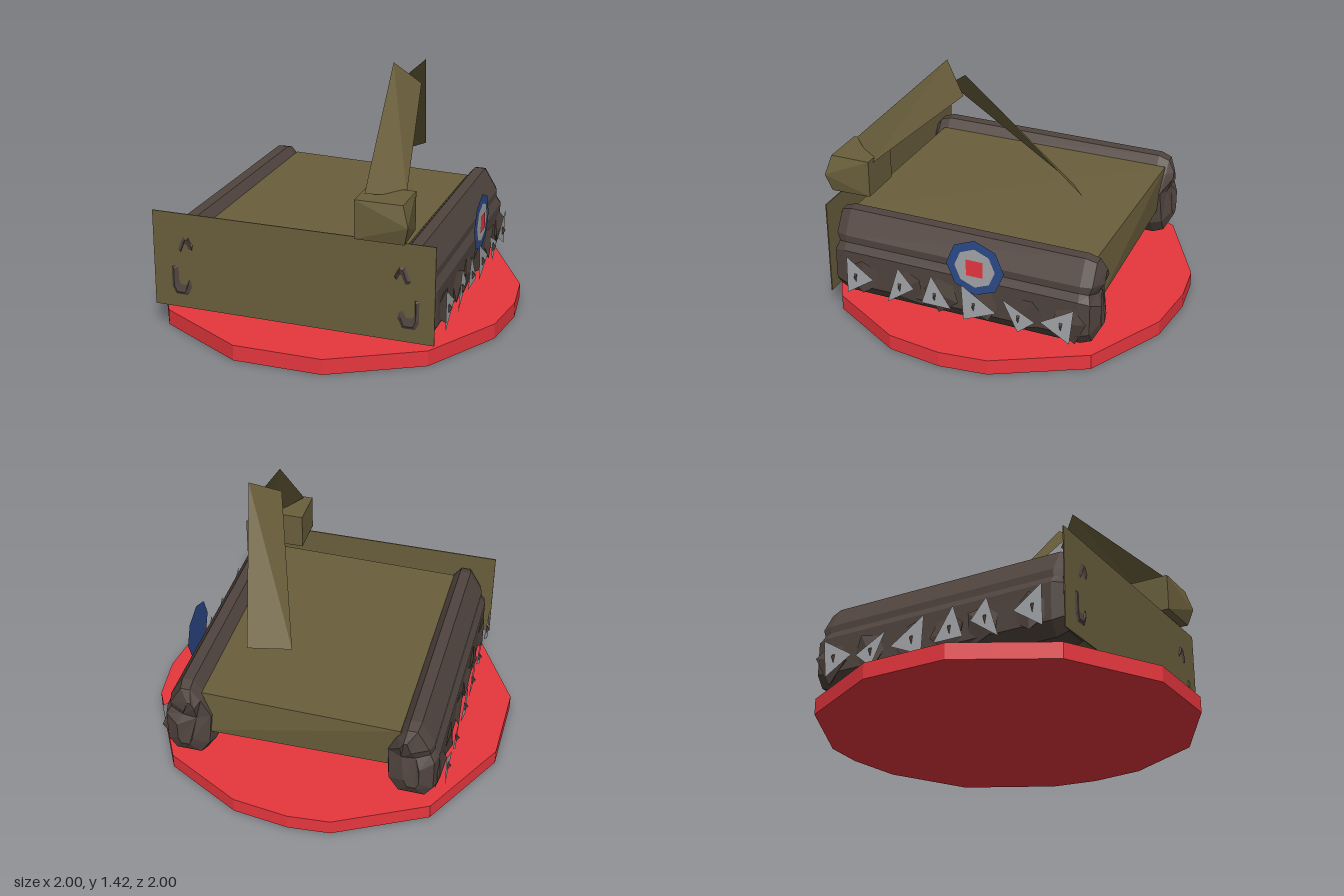
import * as THREE from 'three';
import { ConvexGeometry } from 'three/addons/geometries/ConvexGeometry.js';

export function createModel() {
  const root = new THREE.Group();
  const mat = (name, color) => {
    const m = new THREE.MeshStandardMaterial({ color, side: THREE.DoubleSide, flatShading: true });
    m.name = name;
    return m;
  };
  const red = mat('red', 0xe8373e);
  const olive = mat('olive', 0x6a5f3c);
  const brown = mat('dark brown', 0x50443e);
  const grey = mat('light grey', 0xa3a6a9);
  const blue = mat('blue', 0x2d4b8b);

  const add = (name, geo, material, parent = root) => {
    const mesh = new THREE.Mesh(geo, material);
    mesh.name = name;
    parent.add(mesh);
    return mesh;
  };
  const hull = pts => new ConvexGeometry(pts.map(p => new THREE.Vector3(...p)));
  // Flat-sided surface from a list of polygons, each fanned from its first corner
  const faces = polys => {
    const g = new THREE.BufferGeometry();
    const v = [];
    for (const p of polys)
      for (let i = 1; i < p.length - 1; i++) v.push(...p[0], ...p[i], ...p[i + 1]);
    g.setAttribute('position', new THREE.Float32BufferAttribute(v, 3));
    g.computeVertexNormals();
    return g;
  };

  // Uneven disc under everything
  const rim = [[-0.02, -1], [0.29, -0.96], [0.72, -0.73], [0.97, -0.26], [1, 0], [0.96, 0.3], [0.72, 0.72],
    [0.25, 0.99], [-0.23, 0.995], [-0.73, 0.72], [-1, 0.24], [-0.995, -0.23], [-0.73, -0.73], [-0.25, -0.98]];
  const disc = new THREE.ExtrudeGeometry(new THREE.Shape(rim.map(p => new THREE.Vector2(...p))),
    { depth: 0.085, bevelEnabled: false });
  disc.rotateX(Math.PI / 2).translate(0, 0.085, 0);
  add('baseDisc', disc, red);

  // Body
  add('body', hull([
    [-0.55, 0.56, -0.71], [0.54, 0.545, -0.68], [0.54, 0.555, 0.71], [-0.55, 0.555, 0.69],
    [-0.55, 0.3, -0.69], [0.54, 0.3, -0.705], [0.54, 0.3, 0.69], [-0.55, 0.3, 0.69],
  ]), olive);

  // Front blade
  const blade = new THREE.BoxGeometry(1.54, 0.53, 0.006);
  blade.translate(-0.01, 0.4, 0.757);
  add('frontBlade', blade, olive);

  // Track section: a notch on each side divides a lower bar from an upper one.
  // Each point tapers towards its own centre, so the ends form two knobs that poke through the blade.
  const lower = [0.628, 0.31], upper = [0.57, 0.45], middle = [0.6, 0.38];
  const section = [[0.725, 0.44, middle], [0.75, 0.4, lower], [0.75, 0.2, lower], [0.7, 0.13, lower],
    [0.54, 0.13, lower], [0.48, 0.22, lower], [0.47, 0.42, middle], [0.53, 0.53, upper],
    [0.59, 0.605, upper], [0.65, 0.605, upper], [0.725, 0.48, upper]];
  const notchIn = 6;
  // Stations: z, notch z, width scale, height scale
  const taper = [[0.67, 0.67, 1, 1], [0.73, 0.715, 0.88, 0.88], [0.768, 0.735, 0.3, 0.48]];
  const trackGeometry = s => {
    const ring = ([z, notchZ, kx, ky], end) => section.map(([x, y, c]) => [
      s * (c[0] + (x - c[0]) * kx), c[1] + (y - c[1]) * ky,
      end * (c === middle ? notchZ : z) + (end < 0 ? 0.01 : 0)]);
    const rings = [...taper.map(t => ring(t, -1)).reverse(), ...taper.map(t => ring(t, 1))];
    const polys = [];
    for (let r = 0; r < rings.length - 1; r++)
      for (let i = 0; i < section.length; i++) {
        const j = (i + 1) % section.length;
        const quad = [rings[r][i], rings[r][j], rings[r + 1][j], rings[r + 1][i]];
        polys.push(s > 0 ? quad : quad.reverse());
      }
    for (const [k, cap] of [rings[0], rings[rings.length - 1]].entries())
      for (const poly of [cap.slice(0, notchIn + 1), [...cap.slice(notchIn), cap[0]]])
        polys.push((s > 0) === (k === 0) ? poly.reverse() : poly);
    return faces(polys);
  };

  // Triangular side plates, as [z, y] corners
  const teeth = [
    [[0.637, 0.388], [0.642, 0.166], [0.482, 0.277]],
    [[0.332, 0.388], [0.4, 0.166], [0.241, 0.28]],
    [[0.139, 0.388], [0.198, 0.21], [0.027, 0.21]],
    [[-0.032, 0.377], [-0.043, 0.166], [-0.23, 0.248]],
    [[-0.262, 0.345], [-0.444, 0.248], [-0.348, 0.166]],
    [[-0.652, 0.372], [-0.471, 0.26], [-0.631, 0.166]],
  ];
  for (const s of [-1, 1]) {
    const track = new THREE.Group();
    track.name = s > 0 ? 'leftTrack' : 'rightTrack';
    root.add(track);
    add('trackBody', trackGeometry(s), brown, track);

    teeth.forEach((t, i) => {
      const z = (t[0][0] + t[1][0] + t[2][0]) / 3;
      const y = (t[0][1] + t[1][1] + t[2][1]) / 3;
      // Jagged lump behind each plate
      const lump = [];
      for (let k = 0; k < 4; k++) {
        const a = i * 0.9 + k * Math.PI / 2;
        const r = k % 2 ? 0.1 : 0.14;
        lump.push([s * (k % 2 ? 0.768 : 0.735), Math.max(0.14, 0.27 + r * Math.sin(a)), z - 0.03 + r * Math.cos(a)]);
      }
      lump.push([s * 0.68, 0.25, z]);
      add('trackLump', hull(lump), brown, track);
      add('sidePlate', faces([t.map(([tz, ty]) => [s * 0.785, ty, tz])]), grey, track);
      // Small dark spike at the plate centre
      add('plateSpike', hull([[s * 0.78, y - 0.04, z], [s * 0.78, y + 0.02, z - 0.01],
        [s * 0.78, y + 0.02, z + 0.01], [s * 0.805, y, z]]), brown, track);
    });
  }

  // Round target on the left side; inner discs show only on the outer side
  const target = new THREE.Group();
  target.name = 'target';
  target.position.set(0.772, 0.485, -0.107);
  target.rotation.y = Math.PI / 2;
  root.add(target);
  [['outerRing', 0.162, 8, Math.PI / 2, blue], ['middleRing', 0.113, 8, Math.PI / 2, grey],
    ['centre', 0.066, 4, Math.PI / 4, red]]
    .forEach(([name, r, n, start, m], i) => {
      add(name, new THREE.CircleGeometry(r, n, start), m, target).position.z = i * 0.004;
    });

  // Arm foot with one bulging corner
  add('armFoot', hull([
    [0.35, 0.67, 0.58], [0.6, 0.67, 0.58], [0.35, 0.875, 0.58], [0.6, 0.875, 0.58],
    [0.35, 0.67, 0.8], [0.61, 0.67, 0.8], [0.35, 0.875, 0.8], [0.6, 0.875, 0.8], [0.635, 0.77, 0.828],
  ]), olive);

  // Folded arm made of two sheets
  add('lowerArm', faces([[[0.36, 1.425, 0.22], [0.39, 0.895, 0.76], [0.55, 0.85, 0.58], [0.47, 1.29, 0.08]]]), olive);
  add('upperArm', faces([[[0.485, 1.415, 0.06], [0.33, 0.77, -0.52], [0.12, 0.71, -0.4], [0.35, 1.29, 0.21]]]), olive);

  return root;
}
